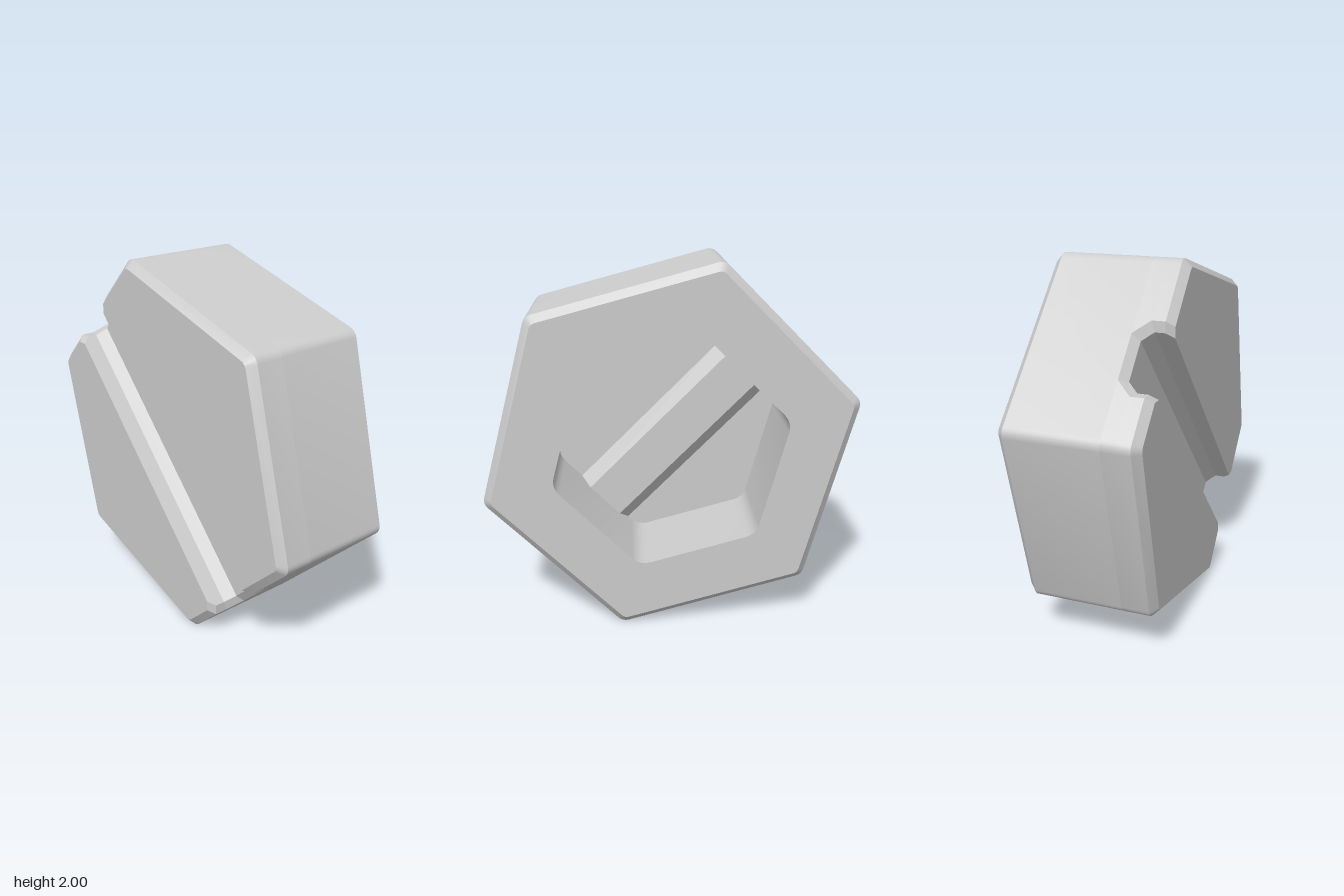
import * as THREE from 'three';
import { toCreasedNormals } from 'three/addons/utils/BufferGeometryUtils.js';

const APOTHEM = 0.902, CORNER = 0.06, BEVEL = 0.04;
const POCKET = 0.57, FLOOR = -0.17;
const SLOT = -0.055; // sideways offset of the channel
const SEAM = -0.17;

// Rounded hexagon, flats facing +-u, counter-clockwise
function hexagon(apothem, radius, w) {
  const points = [];
  const reach = (apothem - radius) / Math.cos(Math.PI / 6);
  for (let k = 0; k < 6; k++) {
    const mid = (k + 0.5) * Math.PI / 3;
    for (let s = 0; s <= 4; s++) {
      const a = (k + s / 4) * Math.PI / 3;
      points.push([
        reach * Math.cos(mid) + radius * Math.cos(a),
        reach * Math.sin(mid) + radius * Math.sin(a), w]);
    }
  }
  return points;
}

const quad = (out, a, b, c, d) => out.push(...a, ...b, ...c, ...a, ...c, ...d);

function loft(out, rows, closed = true) {
  for (let j = 0; j < rows.length - 1; j++) {
    const n = rows[j].length;
    for (let i = 0; i < (closed ? n : n - 1); i++) {
      const k = (i + 1) % n;
      quad(out, rows[j][i], rows[j][k], rows[j + 1][k], rows[j + 1][i]);
    }
  }
}

function cap(out, loop, flip) {
  for (let i = 1; i < loop.length - 1; i++) {
    if (flip) out.push(...loop[0], ...loop[i + 1], ...loop[i]);
    else out.push(...loop[0], ...loop[i], ...loop[i + 1]);
  }
}

function part(name, positions, material) {
  const geometry = new THREE.BufferGeometry();
  geometry.setAttribute('position', new THREE.Float32BufferAttribute(positions, 3));
  const mesh = new THREE.Mesh(toCreasedNormals(geometry, 0.5), material);
  mesh.name = name;
  return mesh;
}

// One half of the back, on one side of the channel
function backHalf(side) {
  // w, hexagon inset, inner half width and its w, end half width
  const levels = [
    [-0.36, BEVEL, 0.165, -0.36, 0.205],
    [-0.32, 0, 0.165, -0.32, 0.205],
    [-0.25, 0, 0.165, -0.265, 0.205],
    [SEAM, 0, 0.11, -0.21, 0.127],
  ];
  const rows = levels.map(([w, inset, inner, innerW, end]) => {
    const a = APOTHEM - inset;
    const hex = hexagon(a, CORNER - inset / 2, w);
    const half = side > 0 ? hex.slice(0, 15) : hex.slice(15);
    const u = -side * a, u2 = -side * (a - BEVEL);
    half.push([u, SLOT + side * end, w], [u2, SLOT + side * inner, innerW],
      [-u2, SLOT + side * inner, innerW], [-u, SLOT + side * end, w]);
    return half;
  });
  const out = [];
  loft(out, rows);
  cap(out, rows[0], true);
  return out;
}

export function createModel() {
  const group = new THREE.Group();
  group.name = 'hexagonalBlock';
  const material = new THREE.MeshStandardMaterial({ color: 0xcccccc });

  // Outer wall, front bevel, rim and hexagonal pocket
  const body = [];
  const pocketFloor = hexagon(POCKET, 0.1, FLOOR);
  loft(body, [
    hexagon(APOTHEM, CORNER, SEAM),
    hexagon(APOTHEM, CORNER, 0.32),
    hexagon(APOTHEM - BEVEL, CORNER - BEVEL / 2, 0.36),
    hexagon(POCKET, 0.1, 0.36),
    pocketFloor,
  ]);
  cap(body, pocketFloor, false);
  group.add(part('pocketedBody', body, material));

  // Back halves on either side of the channel
  group.add(part('backHalfUpper', backHalf(1), material));
  group.add(part('backHalfLower', backHalf(-1), material));

  // Channel floor with flared ends
  const floor = [];
  const inner = APOTHEM - BEVEL;
  const stations = [[-APOTHEM, SEAM, 0.127], [-inner, -0.21, 0.11],
    [inner, -0.21, 0.11], [APOTHEM, SEAM, 0.127]];
  loft(floor, [1, -1].map((s) => stations.map(([u, w, h]) => [u, SLOT + s * h, w])), false);
  group.add(part('channelFloor', floor, material));

  // Ridge across the pocket floor, above the channel
  const ridge = [];
  const profile = [[-0.19, FLOOR], [-0.12, FLOOR + 0.07], [0.12, FLOOR + 0.07], [0.19, FLOOR]];
  loft(ridge, profile.map(([v, w]) => [-1, 1].map((s) => [s * POCKET, SLOT + v, w])), false);
  group.add(part('pocketRidge', ridge, material));

  // Turn the local axes (along channel, across channel, depth) into place
  const q = Math.SQRT1_2;
  const frame = new THREE.Matrix4().makeBasis(
    new THREE.Vector3(0, q, -q), new THREE.Vector3(0, q, q), new THREE.Vector3(1, 0, 0));
  frame.setPosition(0, 1, 0);
  group.children.forEach((mesh) => mesh.geometry.applyMatrix4(frame));
  return group;
}
